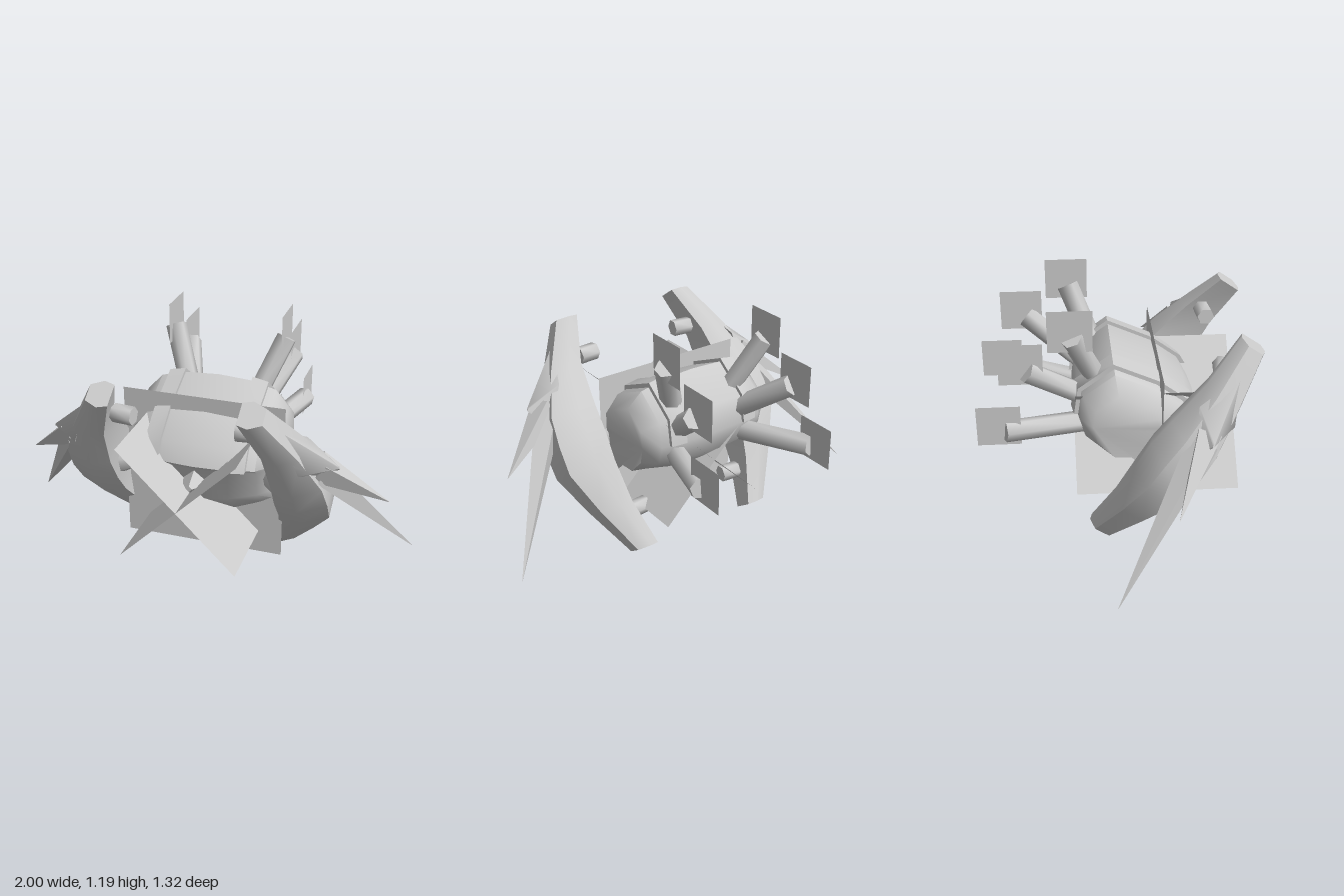
import * as THREE from 'three';
import { toCreasedNormals } from 'three/addons/utils/BufferGeometryUtils.js';

const V = (x, y, z) => new THREE.Vector3(x, y, z);
const solid = new THREE.MeshStandardMaterial({ color: 0xcccccc });
const thin = new THREE.MeshStandardMaterial({ color: 0xcccccc, side: THREE.DoubleSide });

function add(parent, name, geometry, material = solid) {
  const mesh = new THREE.Mesh(geometry, material);
  mesh.name = name;
  parent.add(mesh);
  return mesh;
}

// Closed skin over a row of rings with fan caps; turned outward by its signed volume
function loft(rings) {
  const tris = [];
  const n = rings[0].length;
  for (let i = 0; i < rings.length - 1; i++) {
    for (let j = 0; j < n; j++) {
      const k = (j + 1) % n;
      const [a, b, c, d] = [rings[i][j], rings[i][k], rings[i + 1][k], rings[i + 1][j]];
      tris.push([a, b, c], [a, c, d]);
    }
  }
  const last = rings[rings.length - 1];
  for (let j = 1; j < n - 1; j++) {
    tris.push([rings[0][0], rings[0][j + 1], rings[0][j]], [last[0], last[j], last[j + 1]]);
  }
  const volume = tris.reduce((sum, [a, b, c]) => sum + a.dot(b.clone().cross(c)), 0);
  const pos = [];
  for (const [a, b, c] of tris) {
    for (const p of volume < 0 ? [a, c, b] : [a, b, c]) pos.push(p.x, p.y, p.z);
  }
  const geo = new THREE.BufferGeometry();
  geo.setAttribute('position', new THREE.Float32BufferAttribute(pos, 3));
  return toCreasedNormals(geo, 0.95);
}

// Straight bar or spike between two points
function bar(parent, name, from, to, r0, r1, sides) {
  const dir = to.clone().sub(from);
  const geo = toCreasedNormals(new THREE.CylinderGeometry(r1, r0, dir.length(), sides), 1.1);
  const mesh = add(parent, name, geo);
  mesh.position.copy(from).add(to).multiplyScalar(0.5);
  mesh.quaternion.setFromUnitVectors(V(0, 1, 0), dir.normalize());
}

// Side profile of the body as [z, y]; the first six points are the upper shell
const profile = [
  [-0.21, 0.64], [-0.19, 0.78], [-0.02, 0.905], [0.2, 0.805], [0.34, 0.7], [0.39, 0.61],
  [0.36, 0.58], [0.35, 0.42], [0.22, 0.29], [0.1, 0.4], [-0.05, 0.41], [-0.18, 0.52],
];
// Section at x: s scales the ring, low scales the height of its lower half
const bodyRing = (x, s, low, points = profile) =>
  points.map(([z, y]) => V(x, 0.6 + (y - 0.6) * (y < 0.6 ? low : s), 0.03 + (z - 0.03) * s));

function buildBody(group) {
  const half = [[0.36, 0.62, 0.75], [0.29, 0.87, 0.76], [0.16, 0.97, 0.91]];
  const sections = [...half.map(([x, s, low]) => [-x, s, low]), [0, 1, 1], ...half.reverse()];
  add(group, 'body', loft(sections.map(([x, s, low]) => bodyRing(x, s, low))));
  // Four-sided beak on the face
  bar(group, 'beak', V(0, 0.51, 0.33), V(0, 0.515, 0.435), 0.085, 0.015, 4);
}

// Curved shield: hexagonal sections along a leaning axis, bowed outward in the middle
function buildShield(group, s) {
  const bottom = V(0, 0.04, -0.085), top = V(0, 1.03, 0.605);
  const across = V(0, -0.572, 0.82);
  // Point at t along the axis, x outward and k across
  const at = (t, x, k) => {
    const p = bottom.clone().lerp(top, t).addScaledVector(across, k);
    p.x = s * x;
    return p;
  };
  // t, inner x, outer x, width
  const sections = [
    [0, 0.29, 0.4, 0.136], [0.2, 0.36, 0.53, 0.2], [0.38, 0.39, 0.63, 0.28],
    [0.5, 0.39, 0.635, 0.305], [0.62, 0.39, 0.62, 0.28], [0.8, 0.37, 0.53, 0.2], [1, 0.29, 0.4, 0.136],
  ];
  const rings = sections.map(([t, xi, xo, w]) => {
    const xm = xi * 0.55 + xo * 0.45;
    return [[xi, -0.4], [xi, 0.4], [xm, 0.5], [xo, 0.3], [xo, -0.3], [xm, -0.5]].map(([x, k]) => at(t, x, k * w));
  });
  add(group, 'shield', loft(rings));

  // Pivot joining the shield to the body
  bar(group, 'pivot', V(s * 0.42, 0.54, 0.25), V(s * 0.29, 0.53, 0.23), 0.11, 0.03, 8);

  // Shoulder drawn out of the shield, with a short and a long spike
  const root = [at(0.91, 0.45, 0), at(0.74, 0.53, 0.1), at(0.58, 0.6, 0), at(0.74, 0.53, -0.1)];
  const apex = V(s * 0.695, 0.72, 0.385);
  add(group, 'shoulder', loft([root, root.map((p) => apex.clone().lerp(p, 0.04))]));
  bar(group, 'shortSpike', V(s * 0.59, 0.71, 0.38), V(s * 0.9, 0.49, 0.22), 0.075, 0.001, 4);
  bar(group, 'longSpike', V(s * 0.59, 0.68, 0.36), V(s, 0.1, -0.05), 0.075, 0.001, 4);

  // Short pegs beside the inner face near both ends
  for (const [y, z] of [[0.88, 0.485], [0.19, 0.05]]) {
    bar(group, 'peg', V(s * 0.34, y, z - 0.01), V(s * 0.24, y, z), 0.044, 0.044, 6);
  }
}

// Exhaust pipes at the back, each with a flat square card at its mouth
function buildPipes(group, s) {
  const pipes = [
    [V(s * 0.17, 0.78, -0.09), V(s * 0.285, 1.06, -0.21), [1.093, -0.217]],
    [V(s * 0.17, 0.69, -0.14), V(s * 0.28, 0.895, -0.42), [0.93, -0.445]],
    [V(s * 0.19, 0.565, -0.13), V(s * 0.325, 0.605, -0.53), [0.635, -0.557]],
  ];
  for (const [from, to, [y, z]] of pipes) {
    bar(group, 'pipe', from, to, 0.052, 0.052, 6);
    const card = add(group, 'pipeCard', new THREE.PlaneGeometry(0.205, 0.205), thin);
    card.position.set(to.x, y, z);
    card.rotation.y = s * Math.PI / 2;
  }
}

// Three square cards crossing at one centre: one facing forward, two diagonal
function buildCards(group) {
  const cards = new THREE.Group();
  cards.name = 'crossedCards';
  cards.position.set(-0.008, 0.477, 0.2);
  add(cards, 'frontCard', new THREE.PlaneGeometry(0.8, 0.8), thin);
  for (const s of [1, -1]) {
    const geo = new THREE.PlaneGeometry(0.8, 0.8).rotateX(-Math.PI / 2).rotateZ(s * Math.PI / 4);
    add(cards, 'diagonalCard', geo, thin);
  }
  group.add(cards);
}

export function createModel() {
  const group = new THREE.Group();
  group.name = 'model';
  buildBody(group);
  for (const s of [1, -1]) {
    const side = new THREE.Group();
    side.name = s > 0 ? 'leftSide' : 'rightSide';
    // Raised rib over the upper shell
    const rib = [[0.17, 1.03], [0.25, 0.98]].map(([x, k]) => bodyRing(s * x, k, k, profile.slice(0, 6)));
    add(side, 'rib', loft(rib));
    buildShield(side, s);
    buildPipes(side, s);
    group.add(side);
  }
  buildCards(group);
  return group;
}
